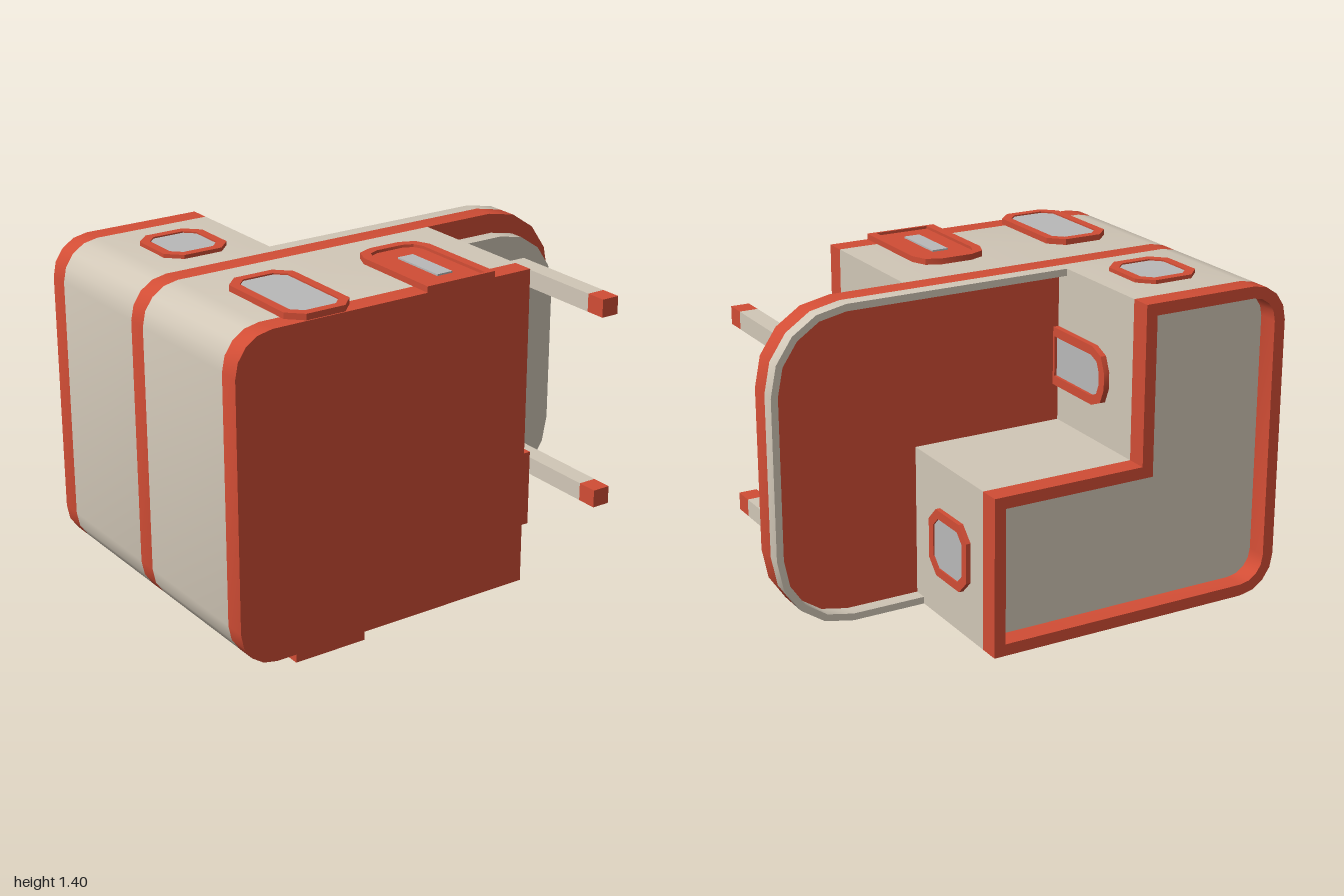
import * as THREE from 'three';
import { toCreasedNormals } from 'three/addons/utils/BufferGeometryUtils.js';

const mat = (name, color) => {
  const m = new THREE.MeshStandardMaterial({ color });
  m.name = name;
  return m;
};

// Polygon of [x, y, cornerRadius] points, corners rounded
function outline(points, Type = THREE.Shape) {
  const path = new Type();
  const n = points.length;
  points.forEach(([x, y, r = 0], i) => {
    const p = new THREE.Vector2(x, y);
    const toward = (q, d) => new THREE.Vector2(q[0], q[1]).sub(p).setLength(d).add(p);
    const prev = points[(i + n - 1) % n], next = points[(i + 1) % n];
    const a = r ? toward(prev, r) : p, b = r ? toward(next, r) : p;
    if (i === 0) path.moveTo(a.x, a.y); else path.lineTo(a.x, a.y);
    if (r) {
      const c = toward(prev, r * 0.448), d = toward(next, r * 0.448);
      path.bezierCurveTo(c.x, c.y, d.x, d.y, b.x, b.y);
    }
  });
  path.closePath();
  return path;
}

// Solid between z0 and z1 with an optional hole
function solid(name, points, z0, z1, material, hole, segments = 4) {
  const shape = outline(points);
  if (hole) shape.holes.push(outline(hole, THREE.Path));
  const geo = new THREE.ExtrudeGeometry(shape, { depth: z1 - z0, bevelEnabled: false, curveSegments: segments });
  geo.translate(0, 0, z0);
  const mesh = new THREE.Mesh(toCreasedNormals(geo, 0.6), material);
  mesh.name = name;
  return mesh;
}

// Rectangle with separate radii for its lower and upper corners
const rect = (x0, y0, x1, y1, low, high) => [[x0, y0, low], [x1, y0, low], [x1, y1, high], [x0, y1, high]];

export function createModel() {
  const red = mat('red trim', 0xd14d35);
  const beige = mat('beige wall', 0xd1c7b7);
  const grey = mat('grey glass', 0xb9b9b9);
  const model = new THREE.Group();
  model.name = 'house';

  // Lower storey and its red base
  const lower = [[-1, 0.035, 0.16], [0.345, 0.035], [0.345, 1.38], [-1, 1.38, 0.16]];
  model.add(solid('lowerStorey', lower, 0.035, 0.61, beige));
  model.add(solid('baseBand', lower, 0.61, 0.7, red));

  // Floor slab, balcony underside and balcony parapet
  const slab = [[-1, 0.035, 0.16], [1, 0.035, 0.33], [1, 1.38, 0.33], [-1, 1.38, 0.16]];
  model.add(solid('floorSlab', slab, -0.055, 0.035, red));
  const under = [[0.345, 0.12], [0.97, 0.12, 0.29], [0.97, 1.295, 0.29], [0.345, 1.295]];
  model.add(solid('balconyUnderside', under, 0.035, 0.1, beige));
  const parapet = [
    [0.345, 0.035], [1, 0.035, 0.33], [1, 1.38, 0.33], [-0.33, 1.38],
    [-0.33, 1.35], [0.97, 1.35, 0.3], [0.97, 0.065, 0.3], [0.345, 0.065],
  ];
  model.add(solid('balconyParapet', parapet, -0.115, -0.055, beige));

  // L-shaped upper storey with a raised roof rim
  const upper = [[-1, 0.035, 0.16], [0.345, 0.035], [0.345, 0.71], [-0.33, 0.71], [-0.33, 1.38], [-1, 1.38, 0.16]];
  const roof = [[-0.95, 0.085, 0.11], [0.295, 0.085], [0.295, 0.66], [-0.38, 0.66], [-0.38, 1.33], [-0.95, 1.33, 0.11]];
  model.add(solid('upperStorey', upper, -0.61, -0.055, beige));
  model.add(solid('roofRim', upper, -0.7, -0.61, red, roof));

  // Balcony posts with red feet
  for (const y of [0.26, 1.1]) {
    const square = rect(0.73, y, 0.81, y + 0.077, 0, 0);
    model.add(solid('post', square, 0.1, 0.61, beige));
    model.add(solid('postFoot', square, 0.61, 0.7, red));
  }

  // Places a part on a wall: local z points out, local y toward the roof (-z)
  function onWall(group, normal, position) {
    const up = new THREE.Vector3(0, 0, -1);
    const out = new THREE.Vector3(...normal);
    group.quaternion.setFromRotationMatrix(
      new THREE.Matrix4().makeBasis(up.clone().cross(out), up, out));
    group.position.set(...position);
    model.add(group);
  }

  // Octagonal window
  function addWindow(normal, position, w, h, t) {
    const g = new THREE.Group();
    g.name = 'window';
    const b = 0.037, x = w / 2, y = h / 2;
    const inner = rect(b - x, b - y, x - b, y - b, 0.04, 0.04);
    g.add(solid('windowFrame', rect(-x, -y, x, y, 0.06, 0.06), 0, t, red, inner, 1));
    g.add(solid('windowGlass', inner, 0, t - 0.006, grey, null, 1));
    onWall(g, normal, position);
  }

  // Round-topped door, its foot at local y = 0
  function addDoor(normal, position, w, h, t, panel, slit) {
    const g = new THREE.Group();
    g.name = 'door';
    const b = 0.039, x = w / 2;
    const inner = rect(b - x, 0.012, x - b, h - b, 0, 0.06);
    g.add(solid('doorFrame', rect(-x, 0, x, h, 0, 0.09), 0, t, red, inner, 2));
    g.add(solid('doorPanel', inner, 0, t - 0.012, panel, null, 2));
    if (slit) {
      g.add(solid('doorGlass', rect(-0.036, 0.105, 0.036, 0.36, 0, 0), t - 0.012, t - 0.005, grey));
    }
    onWall(g, normal, position);
  }

  const UP = [0, 1, 0], DOWN = [0, -1, 0], SIDE = [1, 0, 0];
  addWindow(UP, [-0.605, 1.38, -0.325], 0.29, 0.31, 0.016);
  addWindow(UP, [-0.605, 1.38, 0.447], 0.29, 0.495, 0.025);
  addWindow(SIDE, [0.345, 0.37, -0.355], 0.29, 0.31, 0.02);
  for (const x of [0.008, -0.597]) addWindow(DOWN, [x, 0.035, -0.315], 0.287, 0.31, 0.023);

  addDoor(UP, [0.01, 1.38, 0.7], 0.32, 0.505, 0.025, red, true);
  addDoor(DOWN, [-0.595, 0.035, 0.7], 0.32, 0.5, 0.035, red, false);
  addDoor(SIDE, [0.345, 0.443, 0.7], 0.317, 0.5, 0.03, grey, false);
  addDoor(SIDE, [-0.33, 0.995, -0.055], 0.25, 0.39, 0.025, grey, false);

  return model;
}
